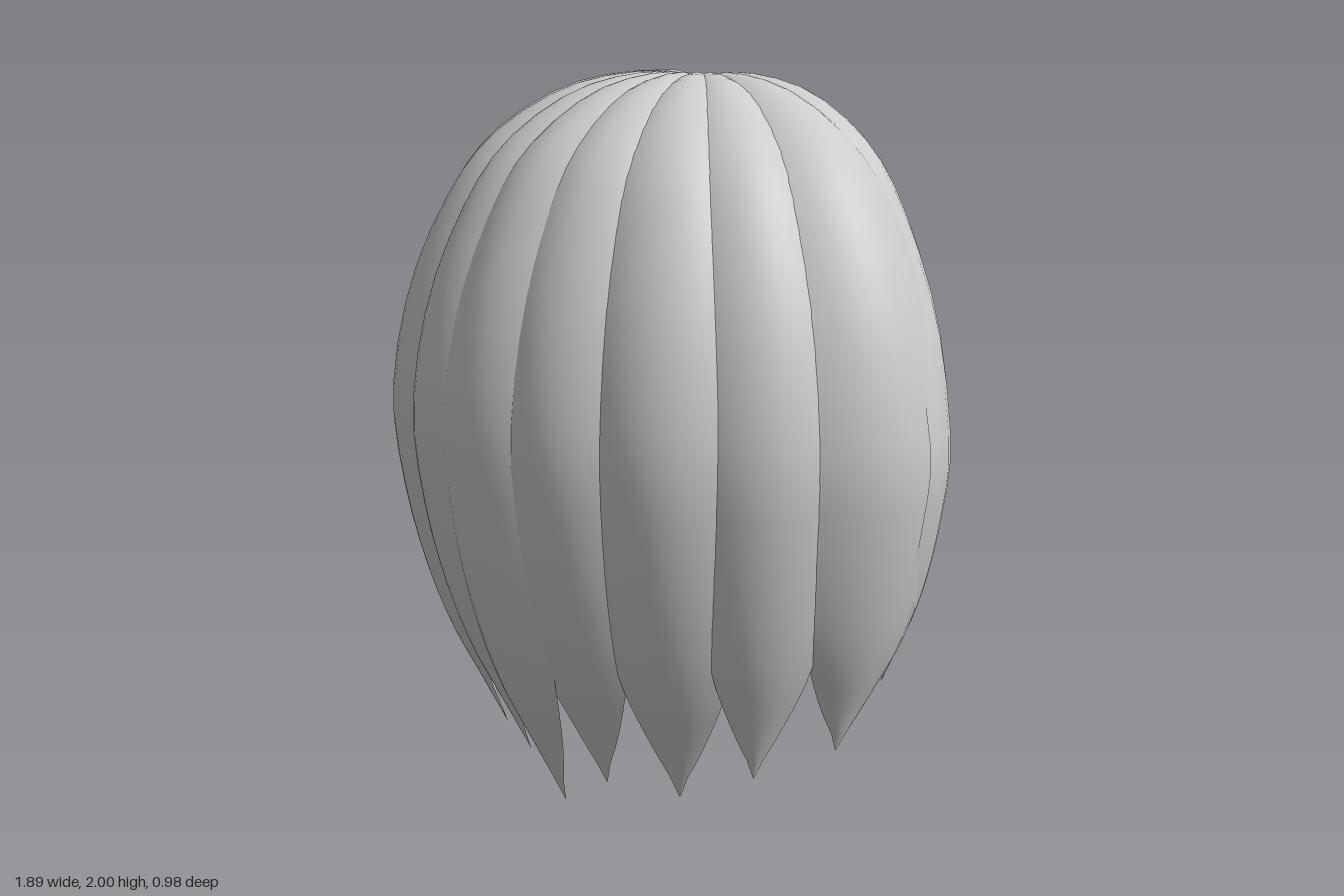
import * as THREE from 'three';

const APEX = new THREE.Vector3(0, 1.985, -0.36);
const ROWS = 30, COLS = 10;

// Crown half of every lock: [share of the reach, height, share of the width]
const CROWN = [[0, 1.985, 0.01], [0.19, 1.998, 0.26], [0.43, 1.955, 0.52], [0.66, 1.83, 0.74],
  [0.81, 1.66, 0.87], [0.94, 1.4, 0.97], [1, 1.1, 1]];
// Hanging half: [share of the drop, share of the way to the tip, share of the width]
const HANG = [[0.27, 0.09, 0.99], [0.5, 0.27, 0.93], [0.68, 0.48, 0.76], [0.84, 0.74, 0.42], [1, 1, 0.008]];

// Locks from the fringe to the back: widest point (x, z), tip, facing angle, half width, bulge
const LOCKS = [
  { mid: [0, 0.475], tip: [0, 0, 0.14], face: 90, width: 0.17, bulge: 0.32 },
  { mid: [0.275, 0.425], tip: [0.165, 0.1, 0.13], face: 71, width: 0.165, bulge: 0.32 },
  { mid: [0.555, 0.305], tip: [0.37, 0.1, 0.05], face: 56, width: 0.18, bulge: 0.36 },
  { mid: [0.76, 0.125], tip: [0.58, 0.2, -0.015], face: 41, width: 0.16, bulge: 0.36 },
  { mid: [0.932, -0.15], tip: [0.69, 0.26, -0.21], face: 13, width: 0.19, bulge: 0.42 },
  { mid: [0.865, -0.415], tip: [0.67, 0.4, -0.41], face: -46, width: 0.175, bulge: 0.4 },
];

// A crescent section swept from the crown to a pointed tip
function lockGeometry({ mid, tip, face, width, bulge }, side) {
  const m = new THREE.Vector3(side * mid[0], 1.1, mid[1]);
  const end = new THREE.Vector3(side * tip[0], tip[1], tip[2]);
  const path = [], widths = [];
  for (const [r, y, w] of CROWN) {
    const p = APEX.clone().lerp(m, r);
    p.y = y;
    path.push(p);
    widths.push(new THREE.Vector2(r, w * width));
  }
  for (const [drop, reach, w] of HANG) {
    const p = m.clone().lerp(end, reach);
    p.y = 1.1 + (tip[1] - 1.1) * drop;
    path.push(p);
    widths.push(new THREE.Vector2(1, w * width));
  }
  const curve = new THREE.CatmullRomCurve3(path, false, 'catmullrom', 0.5);
  const spread = new THREE.SplineCurve(widths);
  const startAngle = Math.atan2(mid[1] - APEX.z, mid[0]);
  const endAngle = THREE.MathUtils.degToRad(face);

  const pos = [], index = [];
  for (const layer of [0, 1]) {
    const base = pos.length / 3;
    for (let i = 0; i <= ROWS; i++) {
      const t = i / ROWS;
      const c = curve.getPoint(t), T = curve.getTangent(t), s = spread.getPoint(t);
      const w = Math.max(s.y, 0.001);
      let a = THREE.MathUtils.lerp(startAngle, endAngle, Math.min(1, s.x * s.x));
      if (side < 0) a = Math.PI - a;
      const B = new THREE.Vector3(-Math.sin(a), 0, Math.cos(a));
      const N = new THREE.Vector3().crossVectors(B, T).normalize();
      for (let j = 0; j <= COLS; j++) {
        const u = (2 * j) / COLS - 1;
        // the inner layer bows less than the outer one, meeting it at the edges
        const h = w * bulge * ((layer ? 0.45 : 1) * (1 - u * u) - 1);
        const p = c.clone().addScaledVector(B, w * u).addScaledVector(N, h);
        pos.push(p.x, p.y, p.z);
      }
    }
    for (let i = 0; i < ROWS; i++) {
      for (let j = 0; j < COLS; j++) {
        const p = base + i * (COLS + 1) + j, q = p + COLS + 1;
        if (layer) index.push(p, q, p + 1, p + 1, q, q + 1);
        else index.push(p, p + 1, q, p + 1, q + 1, q);
      }
    }
  }
  const g = new THREE.BufferGeometry();
  g.setAttribute('position', new THREE.Float32BufferAttribute(pos, 3));
  g.setIndex(index);
  g.computeVertexNormals();
  return g;
}

export function createModel() {
  const model = new THREE.Group();
  model.name = 'hair';
  const material = new THREE.MeshStandardMaterial({ color: 0xcccccc, side: THREE.DoubleSide });
  LOCKS.forEach((lock, i) => {
    for (const side of i === 0 ? [1] : [1, -1]) {
      const mesh = new THREE.Mesh(lockGeometry(lock, side), material);
      mesh.name = i === 0 ? 'centreLock' : `${side > 0 ? 'left' : 'right'}Lock${i}`;
      model.add(mesh);
    }
  });
  return model;
}
